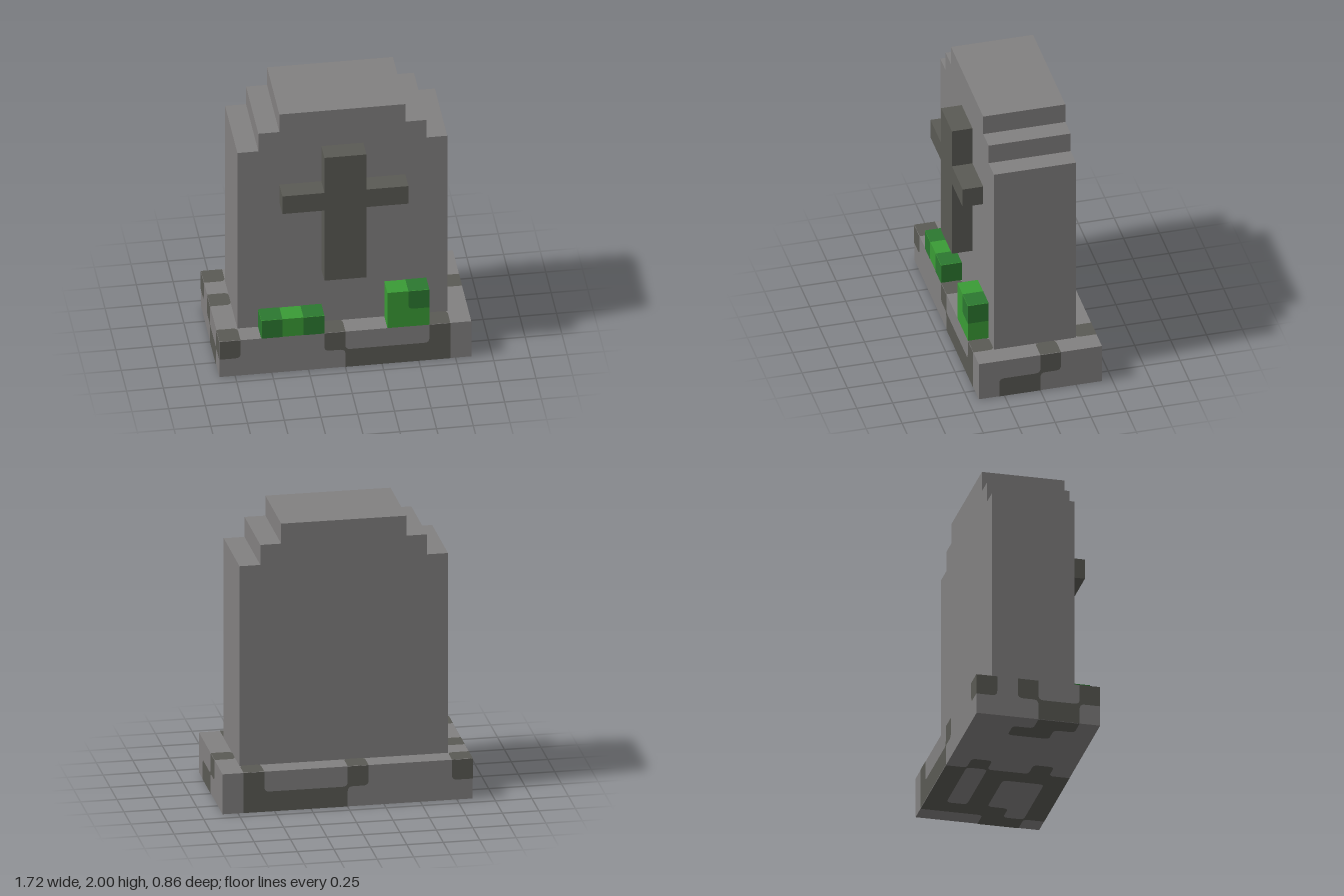
import * as THREE from 'three';
import { mergeGeometries } from 'three/addons/utils/BufferGeometryUtils.js';

const UNIT = 1 / 7;   // size of one block
const ROUND = 0.24;   // corner rounding of painted patches, in blocks
const LIFT = 0.015;   // height of painted patches above their face

const material = (name, color) => {
  const m = new THREE.MeshStandardMaterial({ color });
  m.name = name;
  return m;
};

// One cell outline; each corner is either sharp or rounded off
function cellShape(i, j, cut) {
  const shape = new THREE.Shape();
  const corners = [[0, 0], [1, 0], [1, 1], [0, 1]];
  const steps = [[1, 0], [0, 1], [-1, 0], [0, -1]];
  corners.forEach(([x, y], k) => {
    const px = i + x, py = j + y;
    const into = steps[(k + 3) % 4], out = steps[k];
    const go = (a, b) => (k === 0 ? shape.moveTo(a, b) : shape.lineTo(a, b));
    if (!cut[k]) return go(px, py);
    go(px - into[0] * ROUND, py - into[1] * ROUND);
    shape.quadraticCurveTo(px, py, px + out[0] * ROUND, py + out[1] * ROUND);
  });
  return shape;
}

// Small fillet filling the corner of an unpainted cell
function filletShape(px, py, sx, sy) {
  const shape = new THREE.Shape();
  shape.moveTo(px, py);
  shape.lineTo(px + sx * ROUND, py);
  shape.quadraticCurveTo(px, py, px, py + sy * ROUND);
  return shape;
}

// Painted patches on all six faces of a block; dark([x, y, z]) picks the cells
function patches(name, min, size, dark, mat) {
  const parts = [];
  for (let a = 0; a < 3; a++) for (const side of [1, -1]) {
    let u = (a + 1) % 3, v = (a + 2) % 3;
    if (side < 0) [u, v] = [v, u];
    const clamp = (n, axis) => Math.min(Math.max(n, min[axis]), min[axis] + size[axis] - 1);
    const at = (i, j) => {
      const p = [0, 0, 0];
      p[a] = side > 0 ? min[a] + size[a] - 1 : min[a];
      p[u] = clamp(i, u);
      p[v] = clamp(j, v);
      return dark(p);
    };
    const shapes = [];
    for (let i = min[u]; i < min[u] + size[u]; i++) for (let j = min[v]; j < min[v] + size[v]; j++) {
      const dirs = [[-1, -1], [1, -1], [1, 1], [-1, 1]];
      if (at(i, j)) {
        shapes.push(cellShape(i, j, dirs.map(([x, y]) => !at(i + x, j) && !at(i, j + y) && !at(i + x, j + y))));
      } else {
        for (const [x, y] of dirs) {
          if (at(i + x, j) && at(i, j + y)) shapes.push(filletShape(i + (x > 0), j + (y > 0), -x, -y));
        }
      }
    }
    if (!shapes.length) continue;
    const axes = [0, 1, 2].map(k => new THREE.Vector3().setComponent(k, 1));
    const normal = axes[a].clone().multiplyScalar(side);
    const matrix = new THREE.Matrix4().makeBasis(axes[u], axes[v], normal);
    const level = (side > 0 ? min[a] + size[a] : min[a]) + side * LIFT;
    matrix.setPosition(axes[a].clone().multiplyScalar(level));
    parts.push(new THREE.ShapeGeometry(shapes, 4).applyMatrix4(matrix));
  }
  const mesh = new THREE.Mesh(mergeGeometries(parts), mat);
  mesh.name = name;
  return mesh;
}

function block(name, min, size, mat) {
  const geometry = new THREE.BoxGeometry(...size);
  geometry.translate(...min.map((m, k) => m + size[k] / 2));
  const mesh = new THREE.Mesh(geometry, mat);
  mesh.name = name;
  return mesh;
}

// Slab from the right half of its outline, mirrored in x
function mirroredSlab(name, half, z, depth, mat) {
  const left = half.map(([x, y]) => [-x, y]).reverse();
  const shape = new THREE.Shape([...half, ...left].map(p => new THREE.Vector2(...p)));
  const geometry = new THREE.ExtrudeGeometry(shape, { depth, bevelEnabled: false });
  geometry.translate(0, 0, z);
  const mesh = new THREE.Mesh(geometry, mat);
  mesh.name = name;
  return mesh;
}

// Dark blocks of the plinth, per layer
function plinthDark([x, y, z]) {
  if (y === 1) {
    if (z === -3 || z === 2) return [-6, -1, 4].includes(x);
    return z === -1 && (x === -6 || x === 5);
  }
  if (z === -3 || z === 2) return x >= 0 && x <= 4;
  if (x === 5 || x === -6) return z === 0 || z === 1;
  if (z === -2) return x === 4 || x === -1;
  if (z === -1) return (x >= 0 && x <= 4) || x === -5;
  if (z === 0) return x === 4 || x === 0 || x === -5;
  return x === 0 || x === -1;
}

export function createModel() {
  const stone = material('stone', 0x828080);
  const darkStone = material('dark stone', 0x5a5a54);
  const moss = material('moss', 0x3a9b35);
  const darkMoss = material('dark moss', 0x2c7830);

  const grave = new THREE.Group();
  grave.name = 'gravestone';
  grave.scale.setScalar(UNIT);

  // Plinth with darker stones
  const base = [[-6, 0, -3], [12, 2, 6]];
  grave.add(block('plinth', ...base, stone));
  grave.add(patches('plinthDarkStones', ...base, plinthDark, darkStone));

  // Stepped headstone and raised cross
  grave.add(mirroredSlab('headstone',
    [[5, 2], [5, 12], [4, 12], [4, 13], [3, 13], [3, 14]], -2, 4, stone));
  grave.add(mirroredSlab('cross',
    [[1, 5], [1, 9], [3, 9], [3, 10], [1, 10], [1, 12]], 2, 1, darkStone));

  // Moss clumps
  const low = [[-4, 2, 2], [3, 1, 1]];
  grave.add(block('lowMoss', ...low, moss));
  grave.add(patches('lowMossDark', ...low, ([x]) => x !== -3, darkMoss));
  const tall = [[2, 2, 2], [2, 2, 1]];
  grave.add(block('tallMoss', ...tall, moss));
  grave.add(patches('tallMossDark', ...tall, ([x, y]) => x === 3 && y === 3, darkMoss));

  const model = new THREE.Group();
  model.name = 'model';
  model.add(grave);
  return model;
}
